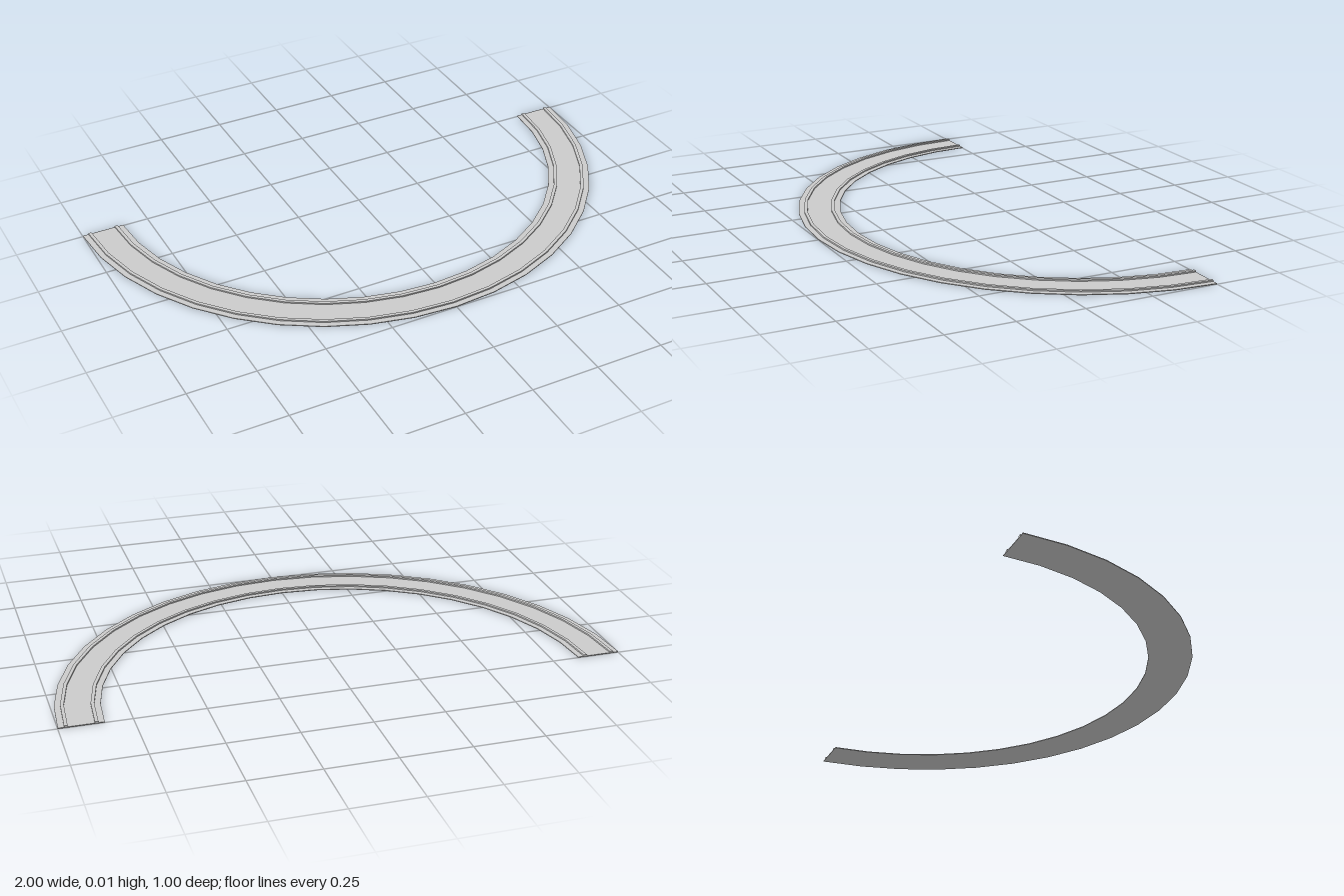
import * as THREE from 'three';

const material = new THREE.MeshStandardMaterial({ color: 0xcccccc, flatShading: true });

// Half ring between two radii, from height y0 to y1, bowed towards +z
function halfRing(name, inner, outer, y0, y1) {
  const shape = new THREE.Shape();
  shape.absarc(0, 0, outer, 0, Math.PI, false);
  shape.absarc(0, 0, inner, Math.PI, 0, true);
  shape.closePath();
  // an arc gets two segments per step: 20 in all
  const geometry = new THREE.ExtrudeGeometry(shape, { depth: y1 - y0, bevelEnabled: false, curveSegments: 10 });
  geometry.rotateX(Math.PI / 2);
  geometry.translate(0, y1, -0.5);
  const mesh = new THREE.Mesh(geometry, material);
  mesh.name = name;
  return mesh;
}

export function createModel() {
  const group = new THREE.Group();
  group.name = 'curvedTrack';
  // Flat bed
  group.add(halfRing('trackBed', 0.845, 1, 0, 0.003));
  // Thin raised rails near both edges
  group.add(halfRing('outerRail', 0.967, 0.979, 0.003, 0.008));
  group.add(halfRing('innerRail', 0.866, 0.878, 0.003, 0.008));
  return group;
}
